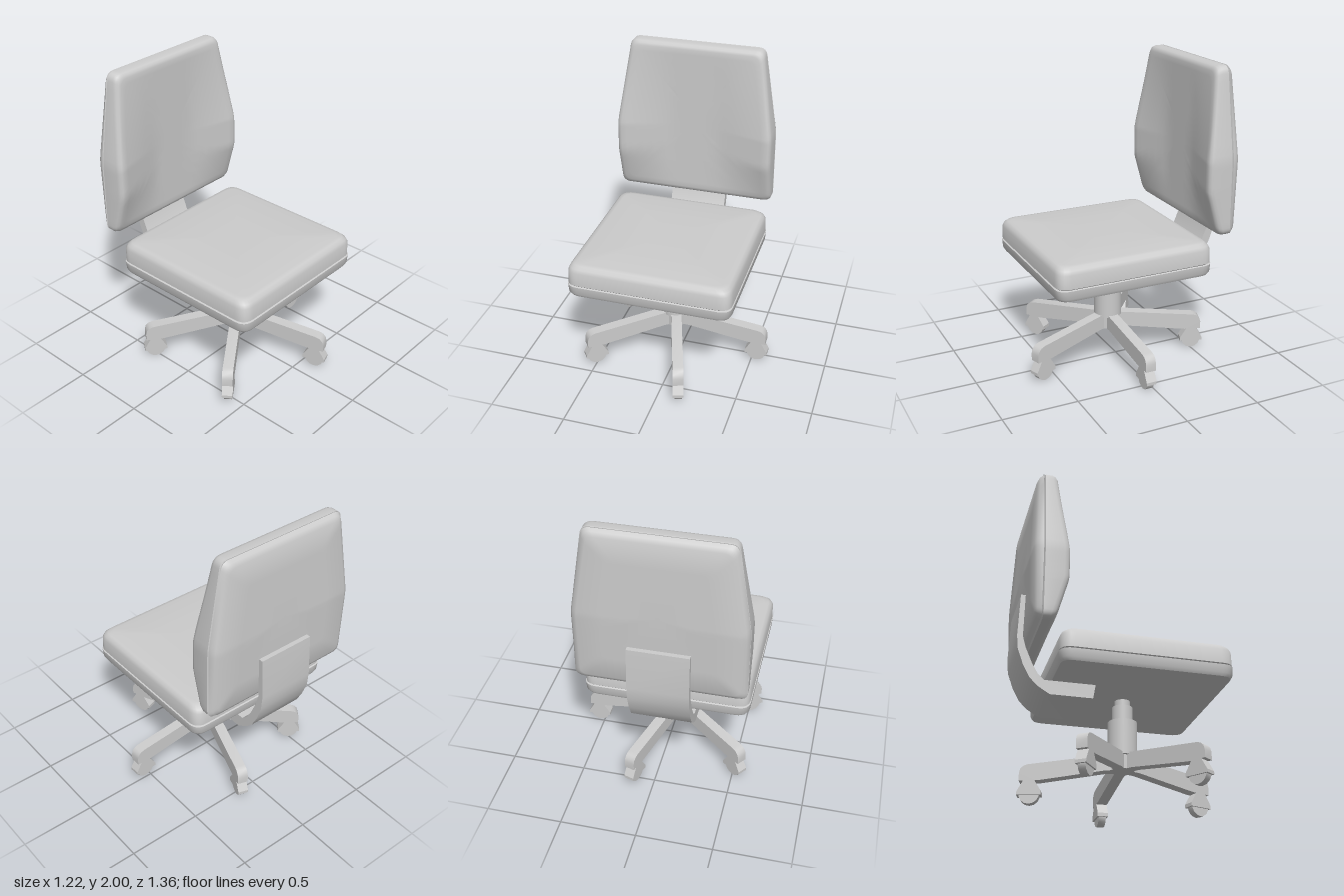
import * as THREE from 'three';
import { toCreasedNormals } from 'three/addons/utils/BufferGeometryUtils.js';

const grey = new THREE.MeshStandardMaterial({ color: 0xcccccc });
const clamp = THREE.MathUtils.clamp;

function mesh(name, geometry, parent) {
  const m = new THREE.Mesh(geometry, grey);
  m.name = name;
  parent.add(m);
  return m;
}

// Counter-clockwise polygon with rounded corners and subdivided edges
function roundedOutline(corners, radius) {
  const pts = [];
  const v = corners.map(([x, y]) => new THREE.Vector2(x, y));
  const n = v.length;
  const toward = (a, b) => a.clone().add(b.clone().sub(a).setLength(radius));
  for (let i = 0; i < n; i++) {
    const p = v[i], next = v[(i + 1) % n];
    const start = toward(p, v[(i + n - 1) % n]), end = toward(p, next);
    pts.push(...new THREE.QuadraticBezierCurve(start, p, end).getPoints(6));
    const edgeEnd = toward(next, p);
    for (let k = 1; k < 10; k++) pts.push(end.clone().lerp(edgeEnd, k / 10));
  }
  return pts;
}

// Closed cushion lofted front to back; each layer is [inset, depth(x, y)]
function cushion(outline, half, layers) {
  const pos = [], index = [], n = outline.length, last = layers.length - 2;
  for (const [inset, depth] of layers) {
    const s = 1 - inset / half;
    for (const p of outline) pos.push(p.x * s, p.y * s, depth(p.x * s, p.y * s));
  }
  for (let k = 0; k <= last; k++) {
    for (let i = 0; i < n; i++) {
      const j = (i + 1) % n;
      const a = k * n + i, b = k * n + j, c = a + n, d = b + n;
      if (k < last) index.push(a, c, d);
      if (k > 0) index.push(a, d, b);
    }
  }
  const g = new THREE.BufferGeometry();
  g.setAttribute('position', new THREE.Float32BufferAttribute(pos, 3));
  g.setIndex(index);
  return toCreasedNormals(g, 0.7);
}

// Side profile extruded to a width, centred on its plane
function slab(points, width, crease = 0.6) {
  const shape = new THREE.Shape(points.map(([x, y]) => new THREE.Vector2(x, y)));
  const g = new THREE.ExtrudeGeometry(shape, { depth: width, bevelEnabled: false });
  return toCreasedNormals(g.translate(0, 0, -width / 2), crease);
}

export function createModel() {
  const chair = new THREE.Group();
  chair.name = 'officeChair';
  const H = 0.54;

  // Seat: padded top over a shallow pan, with a seam between
  const top = (x, y) => 0.895 - 0.012 * Math.max(Math.abs(x), Math.abs(y)) / H;
  const level = (h) => () => h;
  const square = roundedOutline([[-H, -H], [H, -H], [H, H], [-H, H]], 0.08);
  const seatGeo = cushion(square, H, [
    [H, top], [0.3, top], [0.06, top],
    [0.035, level(0.88)], [0.016, level(0.862)], [0.006, level(0.838)],
    [0.004, level(0.748)], [0.01, level(0.742)], [0, level(0.738)],
    [0.004, level(0.685)], [0.015, level(0.665)], [H, level(0.665)],
  ]);
  mesh('seat', seatGeo.rotateX(-Math.PI / 2), chair).position.set(-0.07, 0, 0.06);

  // Backrest: sides wrap forward most at mid height, centre stays flat
  const front = (x, y) => {
    const side = clamp((Math.abs(x) - 0.16) / 0.34, 0, 1);
    const height = y < -0.25 ? (y + 0.52) / 0.27 : y < -0.05 ? 1 : 1 - (y + 0.05) / 0.57;
    return -0.505 + 0.075 * side * clamp(height, 0, 1);
  };
  const rear = (x, y) => -0.652 + 0.02 * Math.abs(y + 0.04) / 0.55;
  const off = (f, d) => (x, y) => f(x, y) + d;
  const panel = roundedOutline(
    [[-H, -H], [H, -H], [H, -0.04], [0.45, H], [-0.45, H], [-H, -0.04]], 0.05);
  const rings = [H, 0.47, 0.4, 0.33, 0.26, 0.19, 0.12, 0.07, 0.035];
  mesh('backrest', cushion(panel, H, [
    ...rings.map((d) => [d, front]),
    [0.018, off(front, -0.005)], [0.006, off(front, -0.017)], [0, off(front, -0.037)],
    [0, level(-0.587)], [0.01, level(-0.592)], [0, level(-0.597)],
    [0.004, off(rear, 0.035)], [0.018, off(rear, 0.014)], [0.045, rear],
    [0.2, rear], [0.35, rear], [H, rear],
  ]), chair).position.set(-0.07, 1.46, 0);

  // Bent bracket joining seat and backrest, drawn as (-z, y)
  const bracket = mesh('backBracket', slab([
    [0.205, 0.575], [0.475, 0.575], [0.545, 0.618], [0.6, 0.67], [0.645, 0.755],
    [0.68, 0.855], [0.688, 0.945], [0.675, 1.23], [0.645, 1.23], [0.652, 0.945],
    [0.633, 0.872], [0.59, 0.77], [0.55, 0.7], [0.51, 0.665], [0.19, 0.665],
  ], 0.39), chair);
  bracket.rotation.y = Math.PI / 2;
  bracket.position.x = -0.075;

  const base = new THREE.Group();
  base.name = 'base';
  base.position.set(-0.045, 0, 0.038);
  chair.add(base);

  // Stepped gas column: [radius, bottom, top]
  [[0.093, 0.29, 0.52], [0.066, 0.52, 0.622], [0.05, 0.622, 0.67]].forEach(([r, y0, y1], i) => {
    mesh('column' + (i + 1), new THREE.CylinderGeometry(r, r, y1 - y0, 32), base)
      .position.y = (y0 + y1) / 2;
  });
  const hub = new THREE.CylinderGeometry(0.09, 0.09, 0.104, 5, 1, false, Math.PI / 2);
  mesh('hub', toCreasedNormals(hub, 0.5), base).position.y = 0.252;

  // Five legs, each with a hooded caster rolling along the leg
  const armGeo = slab([
    [0, 0.2], [0.1, 0.2], [0.5, 0.148], [0.53, 0.145], [0.64, 0.145], [0.64, 0.195],
    [0.632, 0.222], [0.613, 0.241], [0.585, 0.25], [0.07, 0.304], [0, 0.304],
  ], 0.07);
  const hoodGeo = slab([
    [0.5, 0.055], [0.652, 0.055], [0.652, 0.075], [0.61, 0.15], [0.545, 0.15], [0.5, 0.078],
  ], 0.07, 0.2);
  const wheelGeo = toCreasedNormals(
    new THREE.CylinderGeometry(0.064, 0.064, 0.048, 14).rotateX(Math.PI / 2), 0.6);
  for (let i = 0; i < 5; i++) {
    const leg = new THREE.Group();
    leg.name = 'leg' + (i + 1);
    leg.rotation.y = (i * 2 * Math.PI) / 5;
    base.add(leg);
    mesh('arm', armGeo, leg);
    mesh('casterHood', hoodGeo, leg);
    mesh('casterWheel', wheelGeo, leg).position.set(0.576, 0.064, 0);
  }
  return chair;
}
